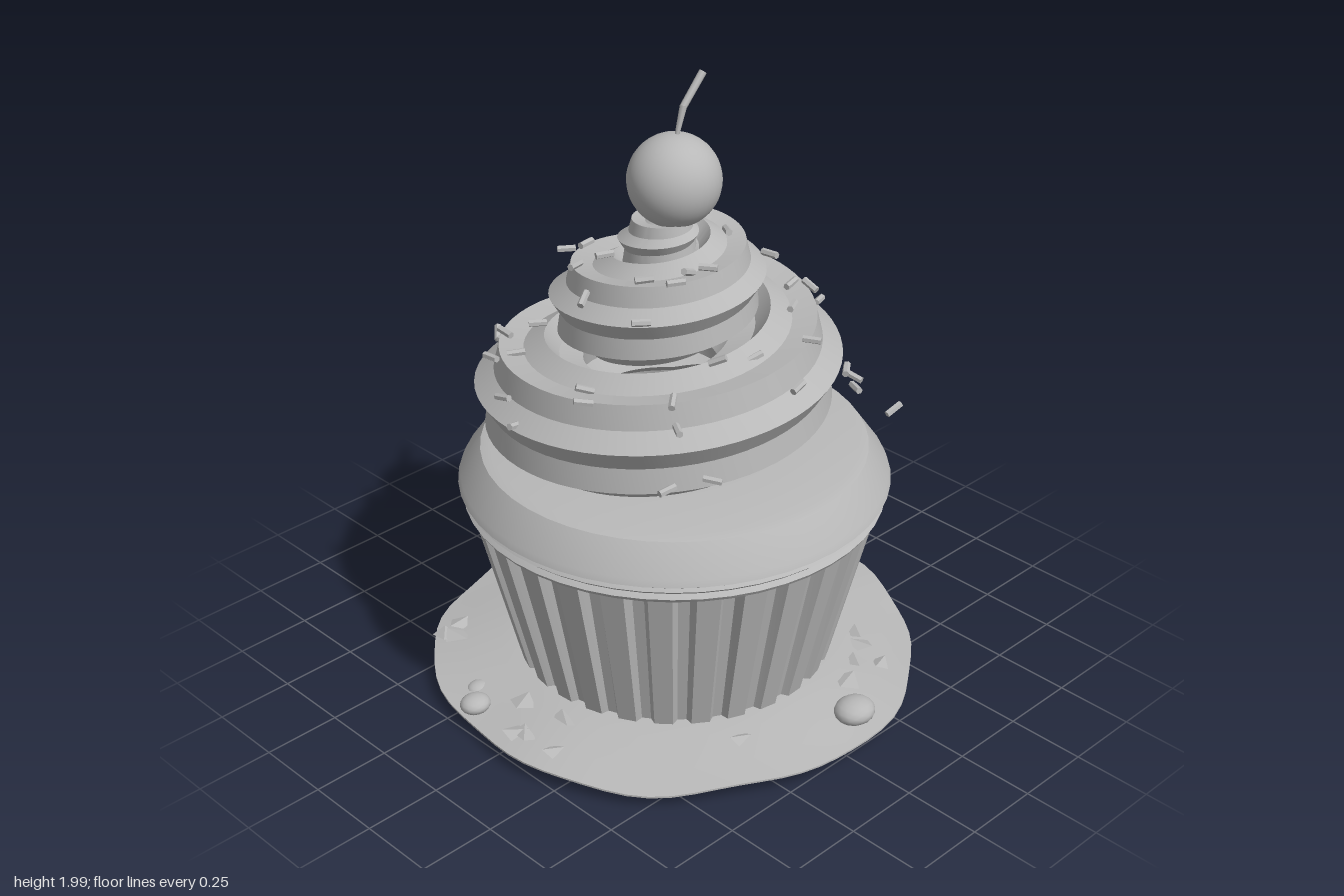
import * as THREE from 'three';
import { toCreasedNormals } from 'three/addons/utils/BufferGeometryUtils.js';

const grey = new THREE.MeshStandardMaterial({ color: 0xb8b8b8 });
const greyThin = grey; // a single flat colour everywhere

let seed = 7;
const rnd = () => (seed = (seed * 16807) % 2147483647) / 2147483647;

function add(parent, name, geo, x = 0, y = 0, z = 0) {
  const m = new THREE.Mesh(geo, greyThin);
  m.name = name;
  m.position.set(x, y, z);
  parent.add(m);
  return m;
}

const lathe = (pts, n) => new THREE.LatheGeometry(pts.map(p => new THREE.Vector2(...p)), n);

// Skin a list of closed rings of points
function loft(rings, flip = false) {
  const n = rings[0].length, pos = [], idx = [];
  rings.forEach(r => r.forEach(p => pos.push(p.x, p.y, p.z)));
  for (let i = 0; i < rings.length - 1; i++) for (let j = 0; j < n; j++) {
    const a = i * n + j, b = i * n + (j + 1) % n, c = a + n, d = b + n;
    if (flip) idx.push(a, b, c, b, d, c);
    else idx.push(a, c, b, b, c, d);
  }
  const g = new THREE.BufferGeometry();
  g.setAttribute('position', new THREE.Float32BufferAttribute(pos, 3));
  g.setIndex(idx);
  return toCreasedNormals(g, 0.45);
}

// Wavy puddle-like base
function baseGeometry() {
  const g = lathe([[0, 0.045], [0.47, 0.045], [0.48, 0.037], [0.62, 0.04], [0.775, 0.052],
    [0.775, 0.058], [0.68, 0.075], [0.56, 0.1], [0.45, 0.115], [0, 0.115]], 72);
  const p = g.attributes.position;
  for (let i = 0; i < p.count; i++) {
    const x = p.getX(i), z = p.getZ(i), r = Math.hypot(x, z);
    if (r < 0.5) continue;
    const a = Math.atan2(z, x), w = (r - 0.48) / 0.3;
    const k = 1 + w * (0.012 * Math.sin(5 * a + 1) + 0.008 * Math.sin(11 * a));
    p.setXYZ(i, x * k, p.getY(i) + w * 0.006 * Math.sin(7 * a), z * k);
  }
  return toCreasedNormals(g, 0.5);
}

// Pleated paper cup
function wrapperGeometry() {
  const pleats = 28;
  const ring = (r, depth, y) => {
    const pts = [];
    for (let i = 0; i < pleats; i++)
      [[0, 1], [0.5, 1], [0.62, 0], [0.88, 0]].forEach(([f, out]) => {
        const a = (i + f) / pleats * Math.PI * 2, rr = r - (out ? 0 : depth);
        pts.push(new THREE.Vector3(rr * Math.sin(a), y, rr * Math.cos(a)));
      });
    return pts;
  };
  return loft([ring(0.498, 0.02, 0.08), ring(0.645, 0.035, 0.67)], true);
}

// Frosting path: radius from the axis, height, thickness at each quarter turn
const swirl = new THREE.CatmullRomCurve3([
  [0.44, 0.94, 0.16], [0.45, 0.97, 0.175], [0.40, 1.02, 0.185], [0.345, 1.09, 0.185],
  [0.30, 1.16, 0.18], [0.24, 1.25, 0.165], [0.195, 1.32, 0.155], [0.15, 1.375, 0.145],
  [0.115, 1.42, 0.13], [0.08, 1.46, 0.11], [0.06, 1.5, 0.085], [0.03, 1.53, 0.065],
  [0, 1.57, 0.02]].map(p => new THREE.Vector3(...p)));

// Star section swept up the spiral, pinched at its lower end
function frostingGeometry() {
  const steps = 190, points = 16, rings = [];
  for (let i = 0; i <= steps; i++) {
    const u = i / steps, turn = u * 3, a = turn * Math.PI * 2;
    const k = swirl.getPoint(u);
    const pinch = Math.min(1, 0.06 + Math.sqrt(turn / 0.13) * 0.94);
    const ring = [];
    for (let j = 0; j < points; j++) {
      const s = (j + 0.5) / points * Math.PI * 2;
      const rad = k.z * pinch * (j % 2 ? 0.8 : 1.02);
      const out = k.x + rad * Math.cos(s);
      ring.push(new THREE.Vector3(out * Math.cos(a), k.y + rad * Math.sin(s), -out * Math.sin(a)));
    }
    rings.push(ring);
  }
  return loft(rings);
}

// Sprinkle positions seen from above (x, z)
const sprinkleXZ = [
  -.16, -.64, -.02, -.66, -.2, -.56, .32, -.57, .39, -.53, .19, -.5, .13, -.45, .19, -.39,
  .34, -.48, -.32, -.41, -.47, -.3, -.38, -.29, -.24, -.35, -.16, -.3, -.25, -.16, -.08, -.3,
  .18, -.29, .3, -.29, .43, -.32, .37, -.24, .4, -.21, .19, -.18, .2, -.11, -.17, -.12,
  -.32, -.05, .3, .06, .12, .1, .48, .06, .56, 0, .65, -.08, .47, .16, .34, .16,
  .36, .22, .22, .18, .25, .25, -.14, .32, -.02, .35, -.35, .35, -.45, .43, -.36, .38,
  -.32, .48, .02, .49, .14, .43, .24, .48, .38, .4, .43, .35, .36, .57, -.5, .14,
  -.43, .07, -.21, .09, -.29, .16, -.19, .2, -.12, .18, -.07, .21, -.57, -.08, -.53, -.18];

function addSprinkles(group, frosting) {
  const p = frosting.attributes.position;
  const geo = toCreasedNormals(new THREE.CylinderGeometry(0.011, 0.011, 0.055, 6), 0.4);
  for (let i = 0; i < sprinkleXZ.length; i += 2) {
    const x = sprinkleXZ[i], z = sprinkleXZ[i + 1];
    let y = 0; // highest frosting point close by
    for (let v = 0; v < p.count; v++)
      if (Math.hypot(p.getX(v) - x, p.getZ(v) - z) < 0.035) y = Math.max(y, p.getY(v));
    const m = add(group, 'sprinkle', geo, x, (y || 1.0) + 0.012, z);
    m.rotation.set(Math.PI / 2 + (rnd() - 0.5) * 1.2, 0, rnd() * Math.PI * 2, 'YXZ');
    m.rotation.y = rnd() * Math.PI * 2;
  }
}

// Rounded lumps and flat crumbs scattered on the base
function addCrumbs(group) {
  const lump = new THREE.IcosahedronGeometry(1, 2);
  [[-0.7, 0.085, -0.17, 0.05], [0.69, 0.08, 0.01, 0.06], [0.1, 0.1, 0.69, 0.068],
    [0.1, 0.07, -0.69, 0.05], [0.47, 0.045, -0.33, 0.06], [-0.4, 0.045, 0.45, 0.06],
    [-0.62, 0.06, -0.25, 0.04]]
    .forEach(([x, y, z, s]) => {
      const m = add(group, 'lump', lump, x, y, z);
      m.scale.set(s, s * 0.58, s * 0.9);
    });
  const flake = new THREE.TetrahedronGeometry(0.05);
  [[-0.5, -0.5], [-0.45, -0.55], [-0.52, -0.54], [0.17, -0.72], [0.2, -0.7], [-0.7, 0.02], [-0.69, 0.05],
    [-0.68, 0.17], [0.3, 0.52], [0.38, 0.47], [0.42, 0.42], [0.2, 0.57], [-0.57, 0.1], [-0.1, -0.59],
    [0.56, -0.15], [-0.25, 0.54], [-0.6, -0.06], [0.36, 0.57]].forEach(([x, z]) => {
    const r = Math.hypot(x, z);
    const m = add(group, 'crumb', flake, x, 0.115 - Math.max(0, r - 0.5) * 0.17, z);
    m.scale.set(0.9 + rnd() * 0.5, 0.25, 0.6 + rnd() * 0.5);
    m.rotation.y = rnd() * 6;
  });
}

export function createModel() {
  const model = new THREE.Group();
  model.name = 'cupcake';
  grey.name = 'grey';

  add(model, 'base', baseGeometry());
  add(model, 'wrapper', wrapperGeometry());
  // Rim of the cup and the cake top
  add(model, 'cakeTop', toCreasedNormals(lathe([[0.59, 0.66], [0.65, 0.652], [0.658, 0.665], [0.645, 0.678],
    [0.658, 0.69], [0.65, 0.7], [0.672, 0.715], [0.664, 0.735], [0.6, 0.825], [0.57, 0.833],
    [0.3, 0.84], [0, 0.845]], 48), 0.5));

  const frosting = frostingGeometry();
  add(model, 'frosting', frosting);

  const sprinkles = new THREE.Group();
  sprinkles.name = 'sprinkles';
  addSprinkles(sprinkles, frosting);
  const crumbs = new THREE.Group();
  crumbs.name = 'crumbs';
  addCrumbs(crumbs);

  // Cherry with a bent stem
  const cherry = new THREE.Group();
  cherry.name = 'cherry';
  add(cherry, 'fruit', new THREE.SphereGeometry(0.141, 32, 24), 0, 1.69, 0);
  const rod = (name, x0, y0, x1, y1, r0, r1) => {
    const g = new THREE.CylinderGeometry(r1, r0, Math.hypot(x1 - x0, y1 - y0), 8);
    add(cherry, name, g, (x0 + x1) / 2, (y0 + y1) / 2, 0).rotation.z = -Math.atan2(x1 - x0, y1 - y0);
  };
  rod('lowerStem', 0.005, 1.81, 0.037, 1.91, 0.006, 0.011);
  rod('upperStem', 0.035, 1.905, 0.115, 1.992, 0.011, 0.012);

  model.add(sprinkles, crumbs, cherry);
  return model;
}
